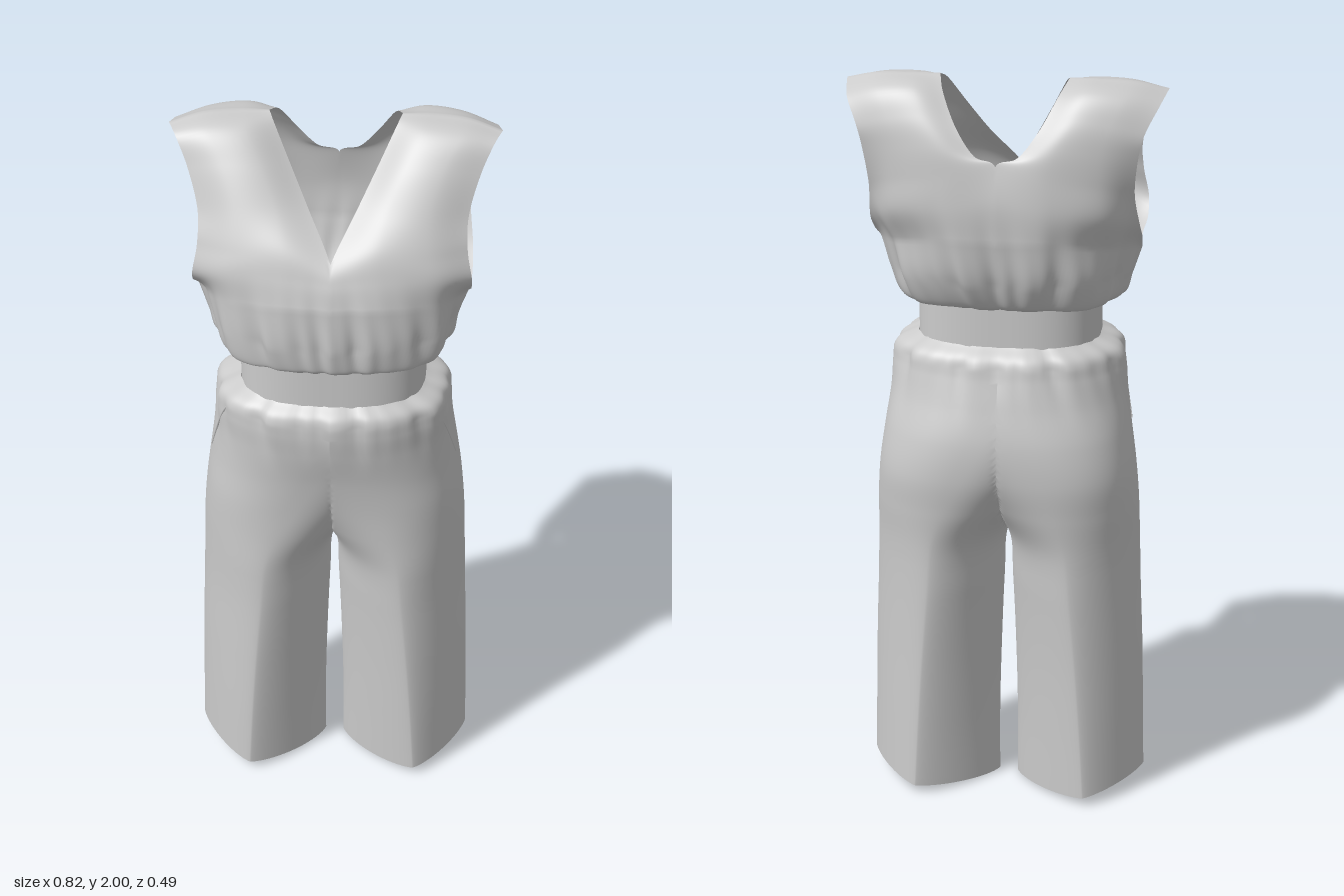
import * as THREE from 'three';
import { mergeGeometries, mergeVertices } from 'three/addons/utils/BufferGeometryUtils.js';

const cloth = new THREE.MeshStandardMaterial({ color: 0xcccccc, side: THREE.DoubleSide });

// Smooth curve through a list of points (arrays of any length), t from 0 to 1
function spline(list, t) {
  const last = list.length - 1;
  const i = Math.min(Math.floor(t * last), last - 1), s = t * last - i;
  const b = list[i], c = list[i + 1];
  return b.map((_, k) => {
    const a = i > 0 ? list[i - 1][k] : 2 * b[k] - c[k];
    const d = i < last - 1 ? list[i + 2][k] : 2 * c[k] - b[k];
    return b[k] + 0.5 * s * (c[k] - a + s * (2 * a - 5 * b[k] + 4 * c[k] - d + s * (3 * (b[k] - c[k]) + d - a)));
  });
}

// Unit loop from the front round the left side: n = 2 is a circle, lower is a diamond, higher is squarer
function superCircle(angle, n) {
  const round = w => Math.sign(w) * Math.pow(Math.abs(w), 2 / n);
  return [round(Math.sin(angle)), round(Math.cos(angle))];
}

// Sheet from point(u, v); side = -1 mirrors it, and faces lying on the centre plane are left out
function sheet(point, nu, nv, side, flip) {
  const pos = [], index = [];
  for (let j = 0; j <= nv; j++) {
    for (let i = 0; i <= nu; i++) {
      const [x, y, z] = point(i / nu, j / nv);
      pos.push(side * Math.max(0, x), y, z);
    }
  }
  const face = (a, b, c) => {
    if ([a, b, c].every(k => Math.abs(pos[3 * k]) < 1e-4)) return;
    if ((side < 0) !== flip) index.push(a, c, b); else index.push(a, b, c);
  };
  for (let j = 0; j < nv; j++) {
    for (let i = 0; i < nu; i++) {
      const a = j * (nu + 1) + i, d = a + nu + 1;
      face(a, a + 1, d + 1);
      face(a, d + 1, d);
    }
  }
  const geo = new THREE.BufferGeometry();
  geo.setAttribute('position', new THREE.Float32BufferAttribute(pos, 3));
  geo.setIndex(index);
  return geo;
}

// Radial gathers in the cloth, strongest at height y and fading over the given reach
function gather(x, z, height, y, reach, size) {
  const fade = Math.max(0, 1 - Math.abs(height - y) / reach);
  const a = Math.atan2(x, z - 0.02) + 0.5 * (height - y);
  return size * fade * fade * (Math.sin(11 * a + 1.3) + 0.7 * Math.sin(18 * a) + 0.5 * Math.sin(29 * a + 2));
}

function garment(name, sheets, y, reach, size) {
  const geo = mergeVertices(mergeGeometries(sheets), 1e-4);
  const p = geo.attributes.position;
  for (let i = 0; i < p.count; i++) {
    const x = p.getX(i), z = p.getZ(i);
    const g = 1 + gather(x, z, p.getY(i), y, reach, size) / Math.max(0.1, Math.hypot(x, z));
    p.setXYZ(i, x * g, p.getY(i), z * g);
  }
  geo.computeVertexNormals();
  const mesh = new THREE.Mesh(geo, cloth);
  mesh.name = name;
  return mesh;
}

// Bodice half panels: rows from waist to shoulder, each from the centre out to the side
const frontRows = [
  [[0, 1.4, 0.21], [0.09, 1.4, 0.205], [0.19, 1.4, 0.163], [0.24, 1.4, 0.03]],
  [[0, 1.42, 0.225], [0.11, 1.42, 0.217], [0.24, 1.41, 0.165], [0.3, 1.41, 0.03]],
  [[0, 1.5, 0.235], [0.13, 1.5, 0.225], [0.26, 1.49, 0.165], [0.32, 1.47, 0.02]],
  [[0, 1.6, 0.235], [0.13, 1.6, 0.225], [0.27, 1.58, 0.165], [0.345, 1.54, 0.015]],
  [[0, 1.66, 0.22], [0.13, 1.67, 0.21], [0.26, 1.66, 0.18], [0.35, 1.63, 0.125]],
  [[0, 1.71, 0.19], [0.12, 1.74, 0.185], [0.24, 1.73, 0.165], [0.335, 1.72, 0.12]],
  [[0.06, 1.81, 0.09], [0.14, 1.82, 0.12], [0.24, 1.82, 0.12], [0.335, 1.8, 0.085]],
  [[0.11, 1.9, 0.02], [0.18, 1.91, 0.06], [0.27, 1.91, 0.065], [0.36, 1.89, 0.045]],
  [[0.15, 1.975, -0.035], [0.22, 1.98, 0], [0.31, 1.975, 0.01], [0.39, 1.955, 0.01]],
  [[0.165, 1.995, -0.07], [0.24, 1.995, -0.07], [0.33, 1.99, -0.06], [0.412, 1.97, -0.04]],
];
const backRows = [
  [[0, 1.4, -0.15], [0.09, 1.4, -0.145], [0.19, 1.4, -0.103], [0.24, 1.4, 0.03]],
  [[0, 1.42, -0.18], [0.11, 1.42, -0.175], [0.24, 1.41, -0.115], [0.3, 1.41, 0.03]],
  [[0, 1.5, -0.215], [0.13, 1.5, -0.21], [0.26, 1.49, -0.135], [0.32, 1.47, 0.02]],
  [[0, 1.6, -0.235], [0.14, 1.6, -0.225], [0.28, 1.57, -0.13], [0.345, 1.54, 0.015]],
  [[0, 1.7, -0.238], [0.14, 1.68, -0.235], [0.27, 1.66, -0.19], [0.35, 1.62, -0.085]],
  [[0, 1.797, -0.222], [0.13, 1.77, -0.232], [0.26, 1.75, -0.2], [0.34, 1.72, -0.14]],
  [[0.055, 1.82, -0.214], [0.15, 1.84, -0.222], [0.26, 1.83, -0.2], [0.35, 1.82, -0.165]],
  [[0.105, 1.885, -0.19], [0.19, 1.91, -0.195], [0.28, 1.9, -0.185], [0.365, 1.88, -0.165]],
  [[0.145, 1.96, -0.14], [0.22, 1.975, -0.15], [0.31, 1.965, -0.145], [0.395, 1.94, -0.125]],
  frontRows[9],
];

// Trouser sections: y, inner x, outer x, front z, back z, squareness (inner x below 0 joins the halves)
const legRows = [
  [0, 0.025, 0.38, 0.18, -0.197, 1.35],
  [0.2, 0.025, 0.375, 0.185, -0.198, 1.4],
  [0.4, 0.02, 0.37, 0.188, -0.2, 1.45],
  [0.6, 0.012, 0.362, 0.19, -0.205, 1.55],
  [0.74, 0.002, 0.357, 0.193, -0.21, 1.7],
  [0.85, -0.06, 0.352, 0.196, -0.225, 2],
  [0.95, -0.13, 0.342, 0.202, -0.238, 2.3],
  [1.05, -0.22, 0.328, 0.215, -0.237, 2.35],
  [1.15, -0.3, 0.314, 0.236, -0.218, 2.3],
  [1.22, -0.308, 0.308, 0.245, -0.2, 2.3],
  [1.27, -0.295, 0.295, 0.24, -0.185, 2.4],
  [1.3, -0.24, 0.24, 0.21, -0.15, 2.6],
];

function legPoint(u, v) {
  const [y, x0, x1, zf, zb, n] = spline(legRows, v);
  const [cx, cz] = superCircle(u * Math.PI * 2, n);
  // the front and back folds lie a little outwards, and the hem rises towards the outside
  const fold = 0.03 * (1 - Math.abs(cx)) * Math.max(0, 1 - y / 0.7);
  const hem = 0.025 * (cx + 1) * Math.max(0, 1 - y / 0.6);
  return [(x0 + x1 + cx * (x1 - x0)) / 2 + fold, y + hem, (zf + zb + cz * (zf - zb)) / 2];
}

function bandPoint(u, v) {
  const [cx, cz] = superCircle(u * Math.PI, 2.6);
  return [0.24 * cx, 1.295 + 0.11 * v, 0.03 + 0.18 * cz];
}

export function createModel() {
  const group = new THREE.Group();
  group.name = 'jumpsuit';

  // Bodice: lower and upper panels, front and back, mirrored
  const panels = [];
  for (const side of [1, -1]) {
    for (const [rows, flip] of [[frontRows, false], [backRows, true]]) {
      for (const part of [rows.slice(0, 4), rows.slice(3)]) {
        const point = (u, v) => spline(part.map(row => spline(row, u)), v);
        panels.push(sheet(point, 48, (part.length - 1) * 8, side, flip));
      }
    }
  }
  group.add(garment('bodice', panels, 1.48, 0.24, 0.006));

  // Waistband
  group.add(garment('waistband', [1, -1].map(s => sheet(bandPoint, 64, 4, s, false)), 0, 0.1, 0));

  // Trousers: two legs that join at the crotch seam
  const legs = [1, -1].map(s => sheet(legPoint, 128, 110, s, false));
  group.add(garment('trousers', legs, 1.25, 0.18, 0.005));

  // Slanted pocket mouths at the hips
  for (const side of [1, -1]) {
    const path = [0, 0.25, 0.5, 0.75, 1].map(t => {
      const [x, y, z] = legPoint(0.16 + 0.06 * t, 0.9 - 0.26 * t);
      return new THREE.Vector3(side * x, y, z);
    });
    const trim = new THREE.Mesh(
      new THREE.TubeGeometry(new THREE.CatmullRomCurve3(path), 24, 0.003, 6), cloth);
    trim.name = side > 0 ? 'leftPocketEdge' : 'rightPocketEdge';
    group.add(trim);
  }
  return group;
}
